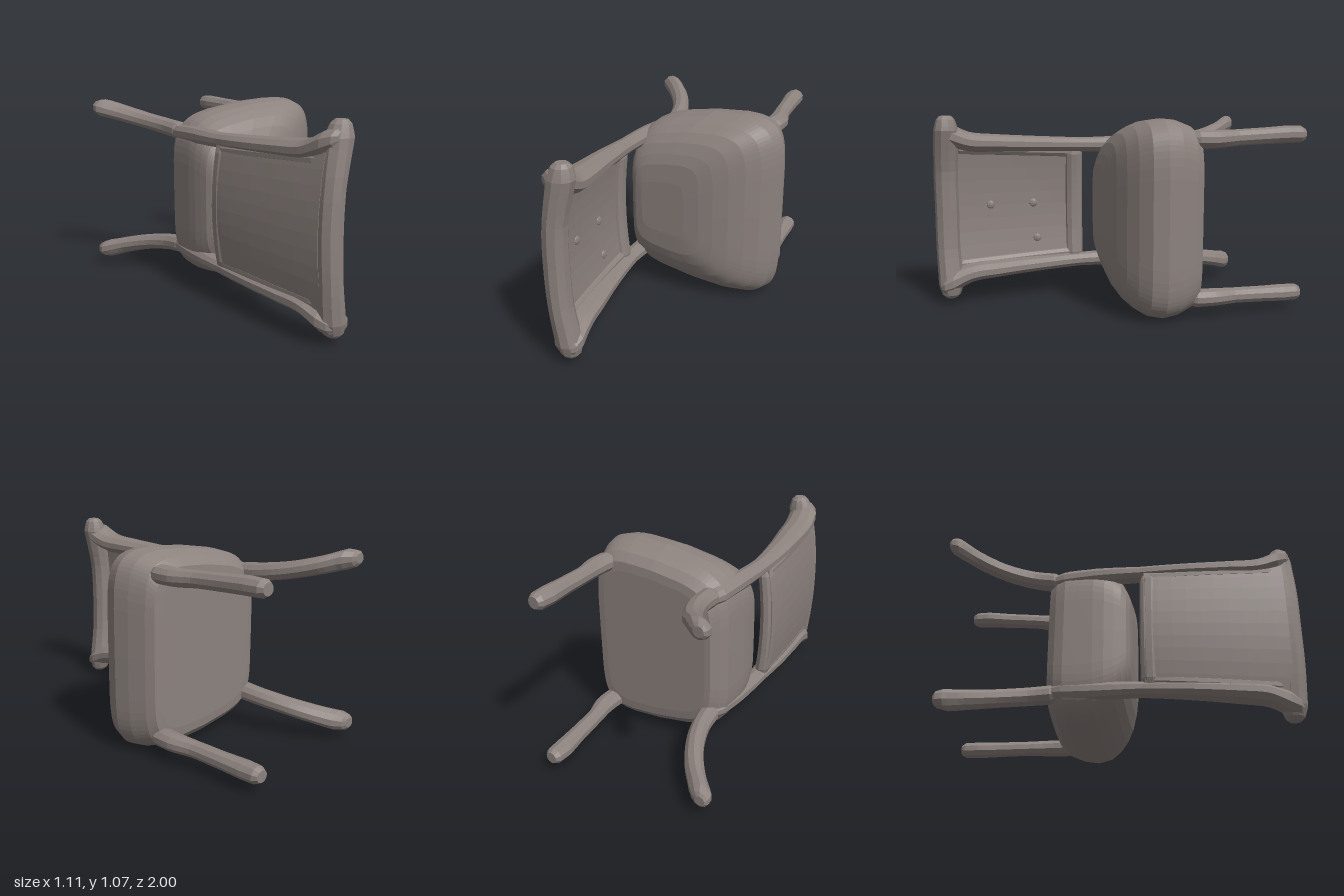
import * as THREE from 'three';

// Mirror planes of the chair, which lies on its side; the backrest is slightly skewed
const MID = 0.533, BACK_MID = 0.545;

// Joins closed rings of points into a capped solid, always facing outwards
function loft(rings) {
  const n = rings[0].length, pos = [], idx = [];
  rings.forEach(r => r.forEach(p => pos.push(...p)));
  const centre = r => [0, 1, 2].map(k => r.reduce((s, p) => s + p[k], 0) / n);
  const last = rings.length - 1, c0 = rings.length * n, c1 = c0 + 1;
  pos.push(...centre(rings[0]), ...centre(rings[last]));
  for (let j = 0; j < n; j++) {
    const k = (j + 1) % n;
    for (let i = 0; i < last; i++) {
      const a = i * n + j, b = i * n + k;
      idx.push(a, b, b + n, a, b + n, a + n);
    }
    idx.push(c0, k, j, c1, last * n + j, last * n + k);
  }
  const v = i => new THREE.Vector3().fromArray(pos, i * 3);
  let volume = 0;
  for (let i = 0; i < idx.length; i += 3) volume += v(idx[i]).dot(v(idx[i + 1]).cross(v(idx[i + 2])));
  if (volume < 0) idx.reverse();
  const g = new THREE.BufferGeometry();
  g.setAttribute('position', new THREE.Float32BufferAttribute(pos, 3));
  g.setIndex(idx);
  g.computeVertexNormals();
  return g;
}

// Bar along a path; stations are [x, y, z, radius in x, radius across]
function bar(stations, axis = 'z', steps = 16, sides = 10) {
  const path = new THREE.CatmullRomCurve3(stations.map(s => new THREE.Vector3(s[0], s[1], s[2])));
  const rings = [];
  for (let i = 0; i <= steps; i++) {
    const t = i / steps, f = t * (stations.length - 1);
    const a = Math.min(Math.floor(f), stations.length - 2), u = f - a;
    const p = path.getPoint(t);
    const end = i === 0 || i === steps ? 0.7 : 1;
    const rx = THREE.MathUtils.lerp(stations[a][3], stations[a + 1][3], u) * end;
    const rc = THREE.MathUtils.lerp(stations[a][4], stations[a + 1][4], u) * end;
    rings.push(Array.from({ length: sides }, (_, j) => {
      const q = (j + 0.5) / sides * Math.PI * 2, c = Math.cos(q) * rx, s = Math.sin(q) * rc;
      return axis === 'z' ? [p.x + c, p.y + s, p.z] : [p.x + c, p.y, p.z + s];
    }));
  }
  return loft(rings);
}

// Cushion: layers of a rounded, squarish outline, narrower at the back
function seatGeometry() {
  // z, back x, front x, half width
  const layers = [
    [-0.375, -0.22, 0.42, 0.40], [-0.37, -0.25, 0.46, 0.45], [-0.33, -0.285, 0.49, 0.495],
    [-0.27, -0.305, 0.53, 0.525], [-0.19, -0.305, 0.555, 0.533], [-0.11, -0.305, 0.537, 0.52],
    [-0.05, -0.30, 0.48, 0.49], [0.0, -0.29, 0.41, 0.45], [0.04, -0.28, 0.33, 0.395],
    [0.067, -0.262, 0.25, 0.33], [0.084, -0.235, 0.17, 0.27], [0.092, -0.19, 0.08, 0.16]
  ];
  const n = 64, power = 0.35;
  return loft(layers.map(([z, back, front, half]) => Array.from({ length: n }, (_, j) => {
    const q = j / n * Math.PI * 2, c = Math.cos(q), s = Math.sin(q);
    const u = Math.sign(c) * Math.abs(c) ** power, w = Math.sign(s) * Math.abs(s) ** power;
    const taper = u < 0.3 ? 1 - 0.17 * ((0.3 - u) / 1.3) ** 1.3 : 1;
    const x = (back + front) / 2 + u * (front - back) / 2;
    return [x, MID + w * half * taper, z - (z < -0.3 ? 0.045 * (x + 0.1) : 0)];
  })));
}

// Backrest panel: bowed sheet that widens and leans towards its top
const panelX = (z, v) => -0.265 + 0.145 * Math.max(0, z - 0.15) ** 1.3 - 0.035 * (1 - v * v);
function panelGeometry(z0, z1, thickness) {
  const rings = [], n = 10;
  for (let i = 0; i <= 10; i++) {
    const z = z0 + (z1 - z0) * i / 10, half = 0.34 + 0.05 * (z - 0.1);
    const ring = [];
    for (const side of [1, -1]) {
      for (let j = 0; j <= n; j++) {
        const v = side * (1 - 2 * j / n);
        ring.push([panelX(z, v) + side * thickness / 2, BACK_MID + v * half, z]);
      }
    }
    rings.push(ring);
  }
  return loft(rings);
}

export function createModel() {
  const chair = new THREE.Group();
  chair.name = 'chair';
  const wood = new THREE.MeshStandardMaterial({ color: 0x8c827e, flatShading: true });
  wood.name = 'greyBrown';
  const add = (name, geometry) => {
    const mesh = new THREE.Mesh(geometry, wood);
    mesh.name = name;
    chair.add(mesh);
    return mesh;
  };

  add('seat', seatGeometry());

  // Posts and legs, mirrored across the chair
  for (const [label, s] of [['upper', 1], ['lower', -1]]) {
    const y = d => MID + s * d, yb = d => BACK_MID + s * d;
    add(label + 'BackPost', bar([
      [-0.24, yb(0.335), -0.34, 0.055, 0.05], [-0.25, yb(0.345), -0.1, 0.055, 0.05],
      [-0.245, yb(0.347), 0.15, 0.052, 0.042], [-0.215, yb(0.357), 0.42, 0.07, 0.045],
      [-0.175, yb(0.367), 0.65, 0.085, 0.05], [-0.148, yb(0.378), 0.8, 0.09, 0.055],
      [-0.125, yb(0.42), 0.91, 0.09, 0.068], [-0.11, yb(0.445), 0.975, 0.065, 0.05]
    ], 'z', 28));
    add(label + 'RearLeg', bar([
      [-0.225, yb(0.34), -0.3, 0.058, 0.052], [-0.25, yb(0.355), -0.45, 0.053, 0.05],
      [-0.31, yb(0.38), -0.6, 0.057, 0.048], [-0.40, yb(0.415), -0.73, 0.065, 0.05],
      [-0.485, yb(0.445), -0.815, 0.07, 0.055], [-0.515, yb(0.452), -0.865, 0.042, 0.04]
    ], 'z', 20));
    add(label + 'FrontLeg', bar([
      [0.40, y(0.425), -0.34, 0.062, 0.05], [0.397, y(0.425), -0.48, 0.06, 0.048],
      [0.367, y(0.43), -0.6, 0.046, 0.044], [0.343, y(0.436), -0.76, 0.047, 0.045],
      [0.322, y(0.441), -0.9, 0.055, 0.048], [0.315, y(0.441), -1.0, 0.048, 0.045]
    ], 'z', 20));
    // Moulding where the panel meets the post
    add(label + 'Moulding', bar([0.17, 0.4, 0.65, 0.9].map(z =>
      [panelX(z, 0.85) + 0.008, yb(0.3 + 0.05 * (z - 0.1)), z, 0.032, 0.035])));
  }

  // Rails closing the backrest at its foot and head
  add('lowerRail', bar([
    [-0.255, 0.2, 0.195, 0.042, 0.052], [-0.275, 0.38, 0.195, 0.042, 0.052],
    [-0.281, BACK_MID, 0.195, 0.042, 0.052], [-0.275, 0.7, 0.195, 0.042, 0.052],
    [-0.255, 0.88, 0.195, 0.042, 0.052]
  ], 'y'));
  add('topRail', bar([
    [-0.105, 0.035, 0.925, 0.045, 0.045], [-0.115, 0.11, 0.925, 0.072, 0.07],
    [-0.143, 0.32, 0.935, 0.064, 0.067], [-0.152, BACK_MID, 0.935, 0.066, 0.067],
    [-0.143, 0.76, 0.935, 0.064, 0.067], [-0.1, 0.99, 0.925, 0.075, 0.068],
    [-0.09, 1.07, 0.925, 0.045, 0.045]
  ], 'y', 24));

  // Bowed back panel set into the frame
  add('backPanel', panelGeometry(0.17, 0.93, 0.045));

  // Small tufts on the panel
  for (const [y, z] of [[0.55, 0.44], [0.55, 0.69], [0.34, 0.42]]) {
    const tuft = add('tuft', new THREE.SphereGeometry(0.025, 8, 6));
    tuft.scale.x = 0.5;
    tuft.position.set(panelX(z, (y - BACK_MID) / 0.36) + 0.022, y, z);
  }
  return chair;
}
